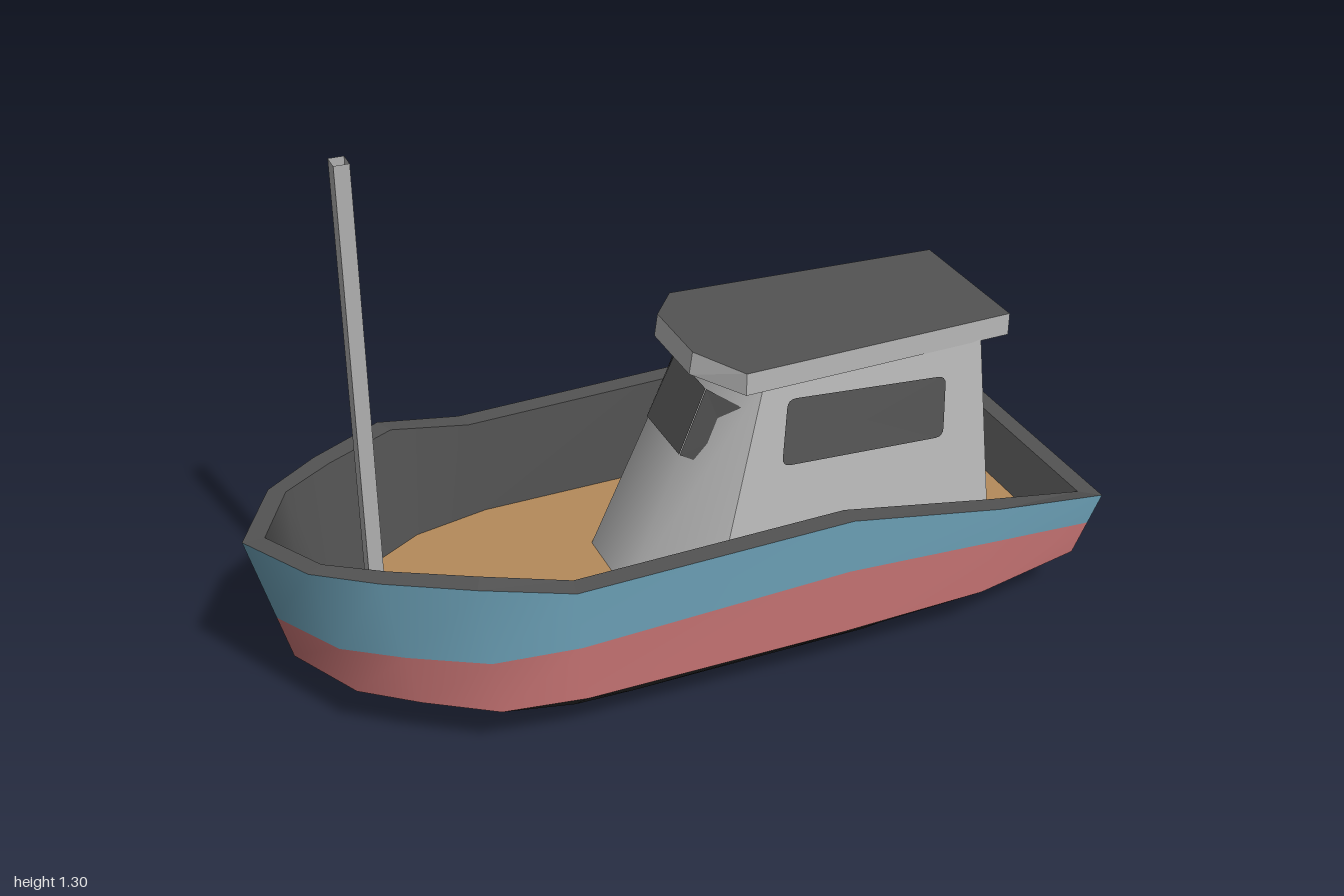
import * as THREE from 'three';

const mat = (name, color) => new THREE.MeshStandardMaterial({ name, color });
const V = (x, y, z) => new THREE.Vector3(x, y, z);

// Surface between two equal rows of points; faces (row direction) x (a to b).
function strip(a, b, { closed = false, flat = false } = {}) {
  const n = a.length, pos = [], idx = [];
  for (const p of [...a, ...b]) pos.push(p.x, p.y, p.z);
  for (let i = 0; i < (closed ? n : n - 1); i++) {
    const j = (i + 1) % n;
    idx.push(i, j, n + j, i, n + j, n + i);
  }
  let g = new THREE.BufferGeometry();
  g.setAttribute('position', new THREE.Float32BufferAttribute(pos, 3));
  g.setIndex(idx);
  if (flat) g = g.toNonIndexed();
  g.computeVertexNormals();
  return g;
}

// Thin pane over four corners (anticlockwise from outside), corners rounded by radius.
function pane(corners, radii) {
  const nrm = corners[1].clone().sub(corners[0])
    .cross(corners[3].clone().sub(corners[0])).normalize();
  const rim = [];
  corners.forEach((c, i) => {
    const r = radii[i];
    if (!r) return rim.push(c.clone());
    const toward = (o) => c.clone().add(o.clone().sub(c).setLength(r));
    rim.push(...new THREE.QuadraticBezierCurve3(
      toward(corners[(i + 3) % 4]), c, toward(corners[(i + 1) % 4])).getPoints(4));
  });
  rim.forEach((p) => p.addScaledVector(nrm, 0.004));
  const mid = rim.reduce((s, p) => s.add(p), V(0, 0, 0)).divideScalar(rim.length);
  return strip(rim, rim.map(() => mid), { closed: true, flat: true });
}

// Full ring from port-to-starboard stern around the bow, given half stations [x, y, z].
const ring = (half) => [
  ...half.slice(1).reverse().map(([x, y, z]) => V(x, y, -z)),
  ...half.map(([x, y, z]) => V(x, y, z)),
];
// The two halves of a ring, each running bow to stern.
const halves = (r) => {
  const m = (r.length - 1) / 2;
  return [r.slice(m), r.slice(0, m + 1).reverse()];
};

export function createModel() {
  const boat = new THREE.Group();
  boat.name = 'boat';
  const blue = mat('blue paint', 0x6b9fb5);
  const red = mat('red paint', 0xc47272);
  const black = mat('black bottom', 0x2c2c2c);
  const dark = mat('dark grey', 0x535353);
  const grey = mat('light grey', 0xb8b8b8);
  const tan = mat('deck tan', 0xb58b5b);
  const mastGrey = mat('mast grey', 0xb0b0b0);
  mastGrey.side = THREE.DoubleSide;

  const add = (name, geometry, material, parent = boat) => {
    const m = new THREE.Mesh(geometry, material);
    m.name = name;
    parent.add(m);
    return m;
  };
  const group = (name) => {
    const g = new THREE.Group();
    g.name = name;
    boat.add(g);
    return g;
  };

  // Hull stations, bow to stern
  const hull = group('hull');
  const rimHalf = [[-1, 0.455, 0], [-0.9, 0.46, 0.18], [-0.77, 0.46, 0.275], [-0.59, 0.458, 0.375],
    [-0.38, 0.41, 0.405], [0.28, 0.425, 0.41], [0.67, 0.35, 0.4], [1, 0.27, 0.34]];
  const chineHalf = [[-0.915, 0], [-0.82, 0.18], [-0.7, 0.275], [-0.55, 0.375],
    [-0.36, 0.405], [0.27, 0.41], [0.64, 0.4], [0.93, 0.34]].map(([x, z]) => [x, 0.125, z]);
  const bottomHalf = [[-0.52, 0], [-0.52, 0.1], [-0.43, 0.18], [-0.34, 0.265],
    [-0.2, 0.27], [0.2, 0.27], [0.3, 0.27], [0.4, 0.27]].map(([x, z]) => [x, 0, z]);
  const paintY = [0.24, 0.25, 0.255, 0.26, 0.265, 0.29, 0.262, 0.2];
  const paintHalf = rimHalf.map((r, i) => {
    const c = chineHalf[i], t = (paintY[i] - c[1]) / (r[1] - c[1]);
    return r.map((v, k) => c[k] + (v - c[k]) * t);
  });
  const innerHalf = [[-0.95, 0], [-0.865, 0.155], [-0.745, 0.235], [-0.57, 0.328],
    [-0.37, 0.355], [0.28, 0.36], [0.66, 0.35], [0.955, 0.302]]
    .map(([x, z], i) => [x, rimHalf[i][1], z]);
  const deckHalf = [[-0.88, 0], [-0.79, 0.13], [-0.69, 0.215], [-0.53, 0.31],
    [-0.34, 0.35], [0.28, 0.358], [0.63, 0.345], [0.9, 0.292]].map(([x, z]) => [x, 0.16, z]);
  const [rim, chine, bottom, paint, inner, deck] =
    [rimHalf, chineHalf, bottomHalf, paintHalf, innerHalf, deckHalf].map(ring);
  const stern = (r) => [r[r.length - 1], r[0]];

  add('upperHull', strip(paint, rim), blue, hull);
  add('lowerHull', strip(chine, paint), red, hull);
  add('hullBilge', strip(bottom, chine), black, hull);
  add('sternRamp', strip(stern(bottom), stern(chine)), black, hull);
  const [bp, bm] = halves(bottom);
  add('hullBottom', strip(bm, bp), black, hull);
  add('transom', strip(stern(chine), stern(rim)), grey, hull);
  add('gunwale', strip(rim, inner, { closed: true, flat: true }), dark, hull);
  add('innerWall', strip(inner, deck).clone(), dark, hull).geometry = strip(deck, inner);
  hull.getObjectByName('innerWall').geometry = strip([...deck].reverse(), [...inner].reverse());
  add('innerSternWall', strip(stern(deck).reverse(), stern(inner).reverse()), dark, hull);
  add('deck', strip(...halves(deck)), tan, hull);

  // Wheelhouse: outline around the nose, then the rear corners
  const cabin = group('wheelhouse');
  const base = [[0, -0.27], [-0.15, -0.11], [-0.15, 0.11], [0, 0.27], [0.745, 0.25], [0.745, -0.25]]
    .map(([x, z]) => V(x, 0.16, z));
  const top = [[0.15, 0.695, -0.2], [0.09, 0.71, -0.085], [0.09, 0.71, 0.085],
    [0.15, 0.695, 0.2], [0.715, 0.685, 0.19], [0.715, 0.685, -0.19]].map((p) => V(...p));
  const pick = (r, ids) => ids.map((i) => r[i]);
  const wall = (name, ids) => add(name, strip(pick(base, ids), pick(top, ids)), grey, cabin);
  wall('frontWall', [0, 1, 2, 3]);
  wall('leftWall', [3, 4]);
  wall('backWall', [4, 5]);
  wall('rightWall', [5, 0]);

  // Point on the wall between outline corners i and j, at share s and height y
  const onWall = (i, j, s, y) => {
    const at = (k) => base[k].clone().lerp(top[k], (y - 0.16) / (top[k].y - 0.16));
    return at(i).lerp(at(j), s);
  };
  const windowOn = (name, i, j, pts, radii) =>
    add(name, pane(pts.map(([s, y]) => onWall(i, j, s, y)), radii), dark, cabin);
  const r = 0.022;
  windowOn('frontWindow', 1, 2, [[0, 0.49], [1, 0.49], [1, 0.645], [0, 0.645]], [0, 0, 0, 0]);
  windowOn('frontWindowLeft', 2, 3, [[0, 0.49], [0.68, 0.485], [0.8, 0.63], [0, 0.645]], [0, r, r, 0]);
  windowOn('frontWindowRight', 0, 1, [[0.32, 0.485], [1, 0.49], [1, 0.645], [0.2, 0.63]], [r, 0, 0, r]);
  windowOn('leftWindow', 3, 4, [[0.15, 0.487], [0.82, 0.462], [0.83, 0.615], [0.12, 0.648]], [r, r, r, r]);
  windowOn('rightWindow', 5, 0, [[0.18, 0.462], [0.85, 0.487], [0.88, 0.648], [0.17, 0.615]], [r, r, r, r]);
  windowOn('backWindow', 4, 5, [[0.13, 0.463], [0.87, 0.463], [0.875, 0.627], [0.125, 0.627]], [r, r, r, r]);

  // Roof slab, sloping aft
  const roofTop = [[0.1, 0.74, -0.215], [0.02, 0.755, -0.1], [0.02, 0.755, 0.1],
    [0.1, 0.74, 0.215], [0.79, 0.735, 0.187], [0.79, 0.735, -0.187]].map((p) => V(...p));
  const roofLow = roofTop.map((p) => V(p.x < 0.05 ? p.x - 0.008 : p.x, p.y - 0.055, p.z));
  const plus = [2, 3, 4], minus = [1, 0, 5];
  add('roofTop', strip(pick(roofTop, plus), pick(roofTop, minus)), dark, cabin);
  add('roofEdge', strip(roofLow, roofTop, { closed: true, flat: true }), grey, cabin);
  add('roofUnderside', strip(pick(roofLow, minus), pick(roofLow, plus)), grey, cabin);

  // Hollow square mast, open at the top
  const mastShape = new THREE.CylinderGeometry(Math.SQRT1_2, Math.SQRT1_2, 1.14, 4, 1, true)
    .rotateY(Math.PI / 4).scale(0.034, 1, 0.043).toNonIndexed();
  mastShape.computeVertexNormals();
  add('mast', mastShape, mastGrey).position.set(-0.716, 0.73, 0);

  return boat;
}
